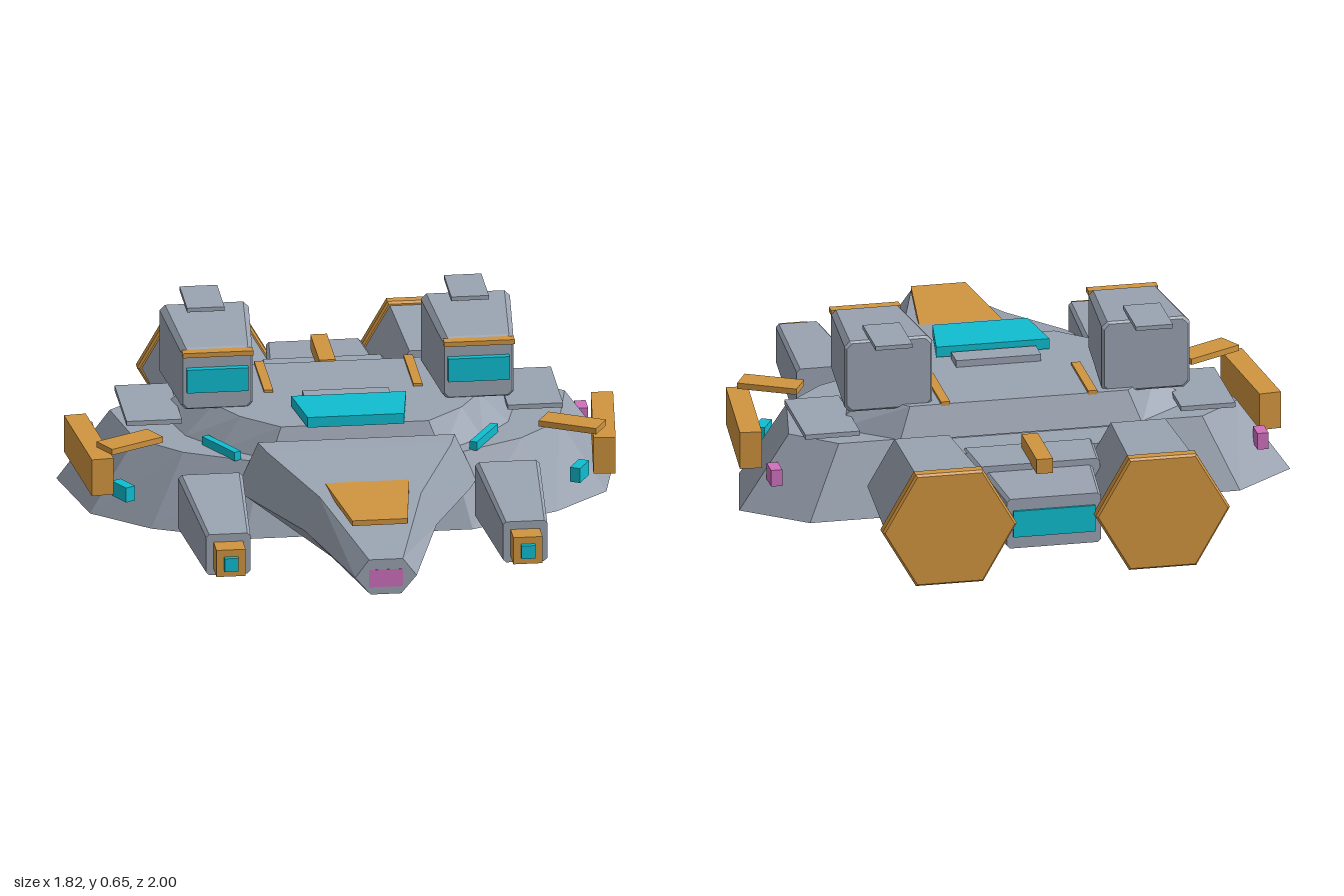
import * as THREE from 'three';

const mat = (name, color) => Object.assign(new THREE.MeshStandardMaterial({ color, flatShading: true }), { name });

// Closed solid from matching cross-section rings of [x, y, z] points; always wound outwards
function loft(rings) {
  const tris = [];
  const n = rings[0].length;
  const centre = (r) => [0, 1, 2].map((k) => r.reduce((a, p) => a + p[k], 0) / n);
  const first = rings[0], last = rings[rings.length - 1];
  const c0 = centre(first), c1 = centre(last);
  for (let i = 0; i < n; i++) {
    const j = (i + 1) % n;
    for (let k = 0; k + 1 < rings.length; k++) {
      const a = rings[k], b = rings[k + 1];
      tris.push([a[i], a[j], b[j]], [a[i], b[j], b[i]]);
    }
    tris.push([c0, first[j], first[i]], [c1, last[i], last[j]]);
  }
  // Signed volume decides the winding
  let volume = 0;
  for (const [a, b, c] of tris) {
    volume += a[0] * (b[1] * c[2] - b[2] * c[1]) + a[1] * (b[2] * c[0] - b[0] * c[2]) + a[2] * (b[0] * c[1] - b[1] * c[0]);
  }
  if (volume < 0) tris.forEach((t) => t.reverse());
  const geo = new THREE.BufferGeometry();
  geo.setAttribute('position', new THREE.Float32BufferAttribute(tris.flat(2), 3));
  geo.computeVertexNormals();
  return geo;
}

// Horizontal ring: half outline of [x, z] points, mirrored, at height y
const plan = (half, y) => [
  ...half.map(([x, z]) => [x, y, z]),
  ...half.slice().reverse().map(([x, z]) => [-x, y, z]),
];

// Chamfered rectangle ring facing z
const rect = (cx, cy, hw, hh, c, z) => [
  [hw, hh - c], [hw - c, hh], [c - hw, hh], [-hw, hh - c],
  [-hw, c - hh], [c - hw, -hh], [hw - c, -hh], [hw, c - hh],
].map(([x, y]) => [cx + x, cy + y, z]);

// Hexagon ring with flat top and bottom, facing z
const hex = (cx, cy, r, z) => Array.from({ length: 6 }, (_, i) => {
  const a = (i * Math.PI) / 3;
  return [cx + r * Math.cos(a), cy + r * Math.sin(a), z];
});

export function createModel() {
  const grey = mat('hullGrey', 0x9aa3b1);
  const orange = mat('trimOrange', 0xd0943f);
  const cyan = mat('glowCyan', 0x0fbdd0);
  const pink = mat('lampPink', 0xcf70bd);
  const root = new THREE.Group();

  const add = (name, geo, material) => {
    const m = new THREE.Mesh(geo, material);
    m.name = name;
    root.add(m);
    return m;
  };
  const box = (name, material, [w, h, d], [x, y, z], ry = 0) => {
    const m = add(name, new THREE.BoxGeometry(w, h, d), material);
    m.position.set(x, y, z);
    m.rotation.y = ry;
    return m;
  };

  // Main hull and raised deck
  add('hull', loft([
    plan([[0.37, 0.27], [0.66, 0.14], [0.84, -0.02], [0.91, -0.35], [0.71, -0.51]], 0.06),
    plan([[0.31, 0.21], [0.55, 0.09], [0.69, -0.05], [0.74, -0.32], [0.6, -0.44]], 0.3),
  ]), grey);
  add('deck', loft([
    plan([[0.28, 0.19], [0.43, 0.07], [0.53, -0.06], [0.59, -0.3], [0.4, -0.45]], 0.295),
    plan([[0.24, 0.16], [0.36, 0.05], [0.43, -0.07], [0.48, -0.28], [0.36, -0.415]], 0.4),
  ]), grey);

  // Tapering six-sided nose
  const noseRing = (z, wide, top, bottom, yMid, yTop, yBottom) => [
    [wide, yMid, z], [top, yTop, z], [-top, yTop, z], [-wide, yMid, z], [-bottom, yBottom, z], [bottom, yBottom, z],
  ];
  add('nose', loft([
    noseRing(0.2, 0.39, 0.32, 0.2, 0.205, 0.365, 0.06),
    noseRing(0.27, 0.365, 0.3, 0.18, 0.205, 0.358, 0.062),
    noseRing(0.58, 0.215, 0.165, 0.11, 0.2, 0.313, 0.092),
    noseRing(1.0, 0.1, 0.055, 0.05, 0.19, 0.25, 0.13),
  ]), grey);
  box('noseLamp', pink, [0.11, 0.06, 0.006], [0, 0.185, 0.998]);
  add('nosePanel', loft([
    plan([[0.138, 0.48], [0.09, 0.84]], 0.308),
    plan([[0.138, 0.48], [0.09, 0.84]], 0.326),
  ]), orange);

  // Canopy on the deck
  add('canopy', loft([
    plan([[0.187, -0.01], [0.157, 0.19]], 0.405),
    plan([[0.187, -0.01], [0.157, 0.19]], 0.44),
  ]), cyan);
  box('canopyHousing', grey, [0.28, 0.03, 0.08], [0, 0.408, -0.06]);

  // Stepped tail between the engines
  add('tailBase', loft([rect(0, 0.19, 0.39, 0.1, 0.01, -0.4), rect(0, 0.19, 0.365, 0.1, 0.01, -0.585)]), grey);
  add('tailMiddle', loft([rect(0, 0.19, 0.215, 0.105, 0.01, -0.55), rect(0, 0.19, 0.2, 0.105, 0.01, -0.73)]), grey);
  add('tailEnd', loft([rect(0, 0.18, 0.18, 0.095, 0.01, -0.7), rect(0, 0.18, 0.155, 0.085, 0.01, -0.96)]), grey);
  box('tailBar', orange, [0.054, 0.05, 0.235], [0, 0.315, -0.7]);
  box('tailGlow', cyan, [0.27, 0.09, 0.012], [0, 0.18, -0.962]);

  for (const s of [1, -1]) {
    const side = s > 0 ? 'left' : 'right';

    // Six-sided engine with end plate
    add(side + 'Engine', loft([hex(0.357 * s, 0.202, 0.18, -0.585), hex(0.352 * s, 0.195, 0.208, -0.957)]), grey);
    add(side + 'EnginePlate', loft([
      [0.214, -0.953], [0.222, -0.961], [0.222, -0.992], [0.214, -1.0],
    ].map(([r, z]) => hex(0.352 * s, 0.195, r, z))), orange);

    // Forward gun pod
    add(side + 'GunPod', loft([
      rect(0.483 * s, 0.193, 0.105, 0.098, 0.012, 0.27),
      rect(0.483 * s, 0.195, 0.072, 0.07, 0.01, 0.75),
    ]), grey);
    box(side + 'GunMuzzle', orange, [0.095, 0.092, 0.08], [0.483 * s, 0.192, 0.785]);
    box(side + 'GunGlow', cyan, [0.045, 0.045, 0.03], [0.483 * s, 0.192, 0.828]);

    // Deck turret with window, visor and roof plate
    add(side + 'Turret', loft([
      rect(0.425 * s, 0.503, 0.11, 0.1, 0.015, -0.035),
      rect(0.425 * s, 0.503, 0.116, 0.106, 0.015, -0.045),
      rect(0.425 * s, 0.508, 0.145, 0.122, 0.018, -0.385),
      rect(0.425 * s, 0.508, 0.138, 0.115, 0.018, -0.392),
    ]), grey);
    box(side + 'TurretWindow', cyan, [0.2, 0.08, 0.025], [0.425 * s, 0.503, -0.025]);
    box(side + 'TurretVisor', orange, [0.23, 0.016, 0.035], [0.425 * s, 0.597, -0.02]);
    box(side + 'TurretRoofPlate', grey, [0.122, 0.014, 0.2], [0.43 * s, 0.641, -0.398]);

    // Side pod, angled fin and flat shoulder plate
    box(side + 'SidePod', orange, [0.072, 0.125, 0.415], [0.837 * s, 0.24, -0.08], -0.1 * s);
    box(side + 'Fin', orange, [0.2, 0.02, 0.088], [0.72 * s, 0.33, 0.055], -0.49 * s);
    box(side + 'ShoulderPlate', grey, [0.18, 0.016, 0.33], [0.62 * s, 0.33, -0.275]);

    // Deck strips and small lamps
    box(side + 'DeckStrip', orange, [0.03, 0.014, 0.265], [0.243 * s, 0.402, -0.287]);
    box(side + 'DeckLight', cyan, [0.025, 0.03, 0.18], [0.427 * s, 0.313, 0.1], -0.51 * s);
    box(side + 'HullLight', cyan, [0.035, 0.05, 0.08], [0.742 * s, 0.168, 0.068], -0.5 * s);
    box(side + 'HullLamp', pink, [0.037, 0.056, 0.07], [0.803 * s, 0.193, -0.395]);
  }
  return root;
}
